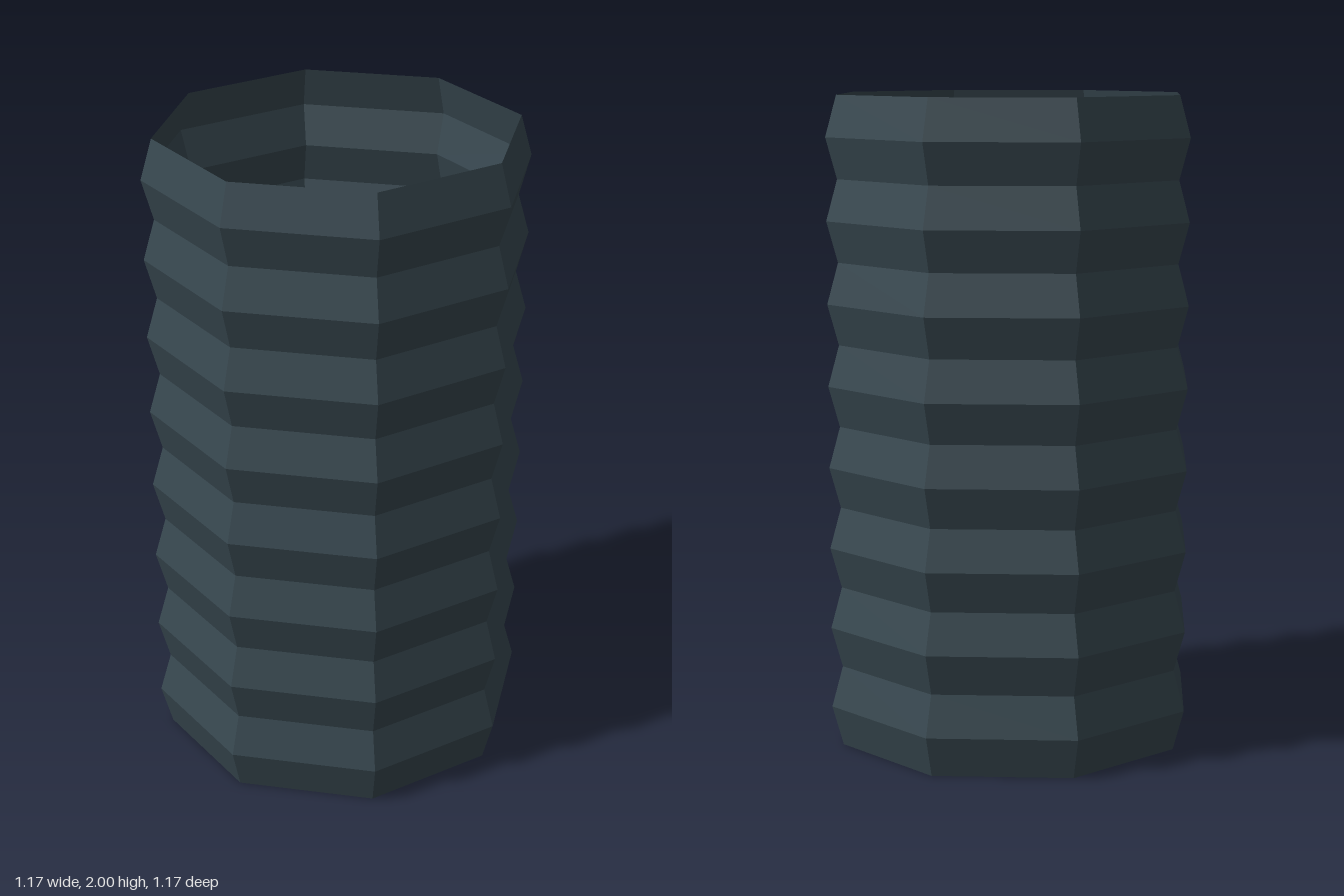
import * as THREE from 'three';

export function createModel() {
  const group = new THREE.Group();
  group.name = 'corrugatedPipe';

  const ridges = 8, sides = 8, height = 2;
  const valleyRadius = 0.552, ridgeRadius = 0.587;

  // Zigzag profile: valleys at both open ends, ridges in between
  const profile = [];
  for (let i = 0; i <= ridges * 2; i++) {
    const radius = i % 2 ? ridgeRadius : valleyRadius;
    profile.push(new THREE.Vector2(radius, (height * i) / (ridges * 2)));
  }

  // Open, thin octagonal wall seen from inside and outside
  const wall = new THREE.Mesh(
    new THREE.LatheGeometry(profile, sides),
    new THREE.MeshStandardMaterial({ color: 0x37474f, flatShading: true, side: THREE.DoubleSide })
  );
  wall.name = 'pipeWall';
  group.add(wall);

  return group;
}
